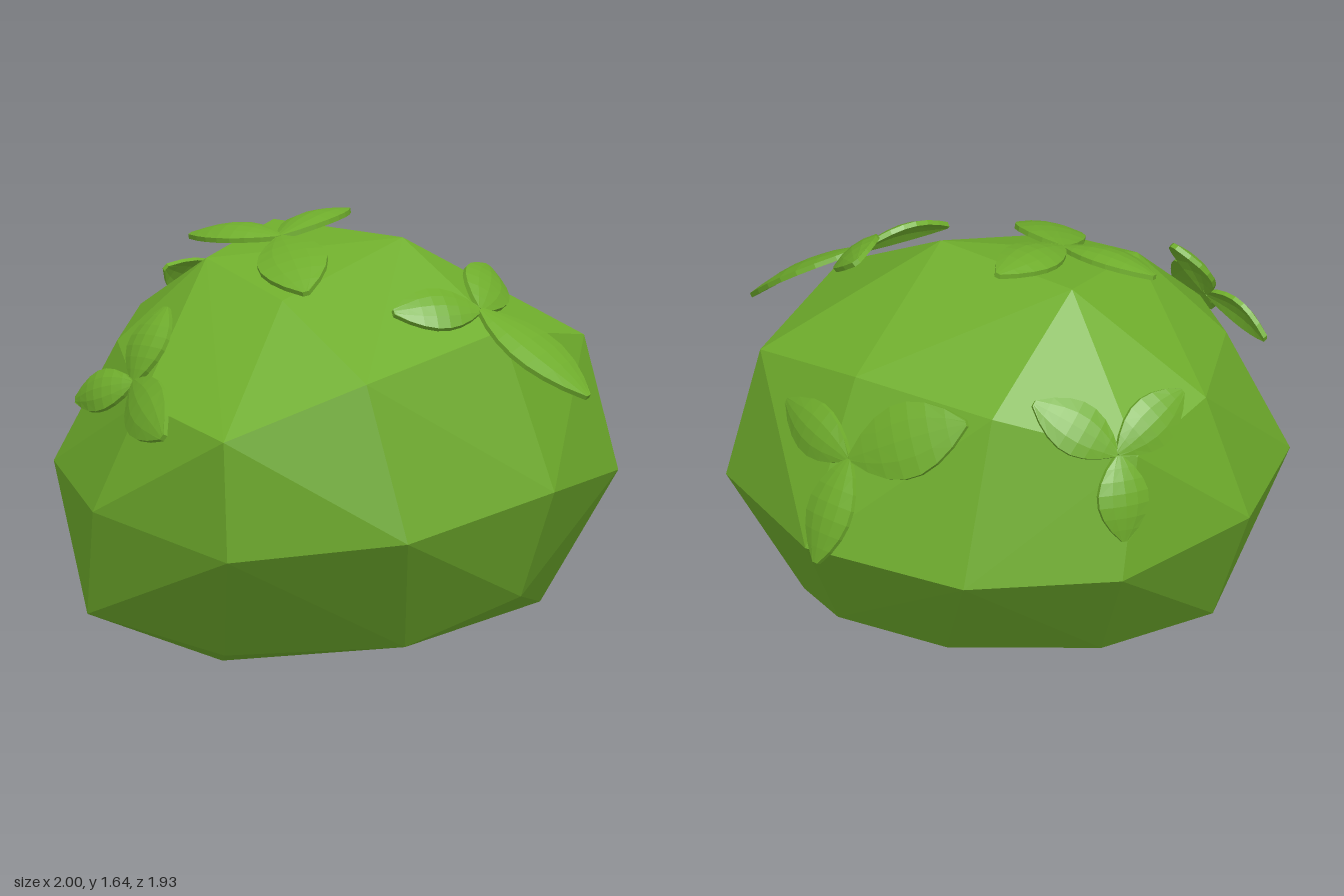
import * as THREE from 'three';
import { ConvexGeometry } from 'three/addons/geometries/ConvexGeometry.js';

const green = new THREE.MeshStandardMaterial({ color: 0x6fad2c });
green.name = 'leafGreen';

const vec = (p) => new THREE.Vector3(...p);

// Faceted bush body: cross-sections from crown to base
const crown = [[0.22, 1.58, 0.17], [-0.12, 1.57, -0.33], [-0.47, 1.51, 0], [-0.3, 1.42, 0.4]];
const shoulder = [
  [-0.12, 1.19, 0.87], [0.46, 1.31, 0.63], [0.88, 1.2, 0.25], [0.66, 1.27, -0.2], [0.28, 1.25, -0.64],
  [-0.2, 1.14, -0.87], [-0.53, 1.22, -0.64], [-0.77, 1.2, -0.12], [-0.84, 1.08, 0.42], [-0.65, 1.0, 0.84],
];
const waist = [
  [0.01, 0.61, 0.96], [0.62, 0.73, 0.76], [1, 0.7, 0.28], [0.9, 0.69, -0.36], [0.42, 0.63, -0.74],
  [-0.12, 0.68, -0.94], [-0.67, 0.75, -0.72], [-0.98, 0.75, -0.22], [-1, 0.67, 0.35], [-0.63, 0.55, 0.82],
];
const skirt = [
  [0.1, 0.16, 0.61], [0.54, 0.32, 0.6], [0.72, 0.22, 0.23], [0.72, 0.3, -0.18], [0.37, 0.22, -0.38],
  [-0.15, 0.24, -0.59], [-0.6, 0.27, -0.5], [-0.97, 0.26, 0.18], [-0.52, 0.125, 0.41],
];
const base = [[-0.38, 0, -0.1], [0.2, 0.07, 0.05]];

// Leaf sprigs: hub point and three leaves, each a tip point and a half width
const sprigs = {
  topSprig: {
    hub: [-0.19, 1.56, 0],
    leaves: [[[-0.45, 1.53, -0.27], 0.09], [[0.13, 1.6, -0.22], 0.1], [[-0.22, 1.44, 0.44], 0.128]],
  },
  frontSprig: {
    hub: [0.39, 1.37, 0.57],
    leaves: [[[0.05, 1.39, 0.62], 0.09], [[0.5, 1.47, 0.28], 0.1], [[0.71, 1.09, 0.87], 0.125]],
  },
  leftSprig: {
    hub: [0.73, 1.03, -0.37],
    leaves: [[[0.86, 1.13, -0.04], 0.1], [[0.37, 1.25, -0.64], 0.14], [[0.88, 0.67, -0.45], 0.105]],
  },
  backSprig: {
    hub: [-0.12, 1.16, -0.87],
    leaves: [[[-0.4, 1.32, -0.75], 0.095], [[0.16, 1.35, -0.75], 0.1], [[-0.12, 0.85, -0.95], 0.1]],
  },
  rightSprig: {
    hub: [-0.83, 1.13, 0.33],
    leaves: [[[-0.68, 1.38, 0.24], 0.1], [[-0.98, 1.03, 0.1], 0.08], [[-0.83, 1.0, 0.71], 0.11]],
  },
};
const bodyCentre = new THREE.Vector3(0, 0.75, 0);

// Thin pointed leaf from hub to tip, arched along its length and cupped across
function leaf(hub, tip, halfWidth) {
  const along = tip.clone().sub(hub);
  const length = along.length();
  along.normalize();
  const outward = hub.clone().add(tip).multiplyScalar(0.5).sub(bodyCentre);
  outward.addScaledVector(along, -outward.dot(along)).normalize();
  const side = new THREE.Vector3().crossVectors(outward, along);

  const box = new THREE.BoxGeometry(1, 0.018, 1, 4, 1, 7);
  const pos = box.attributes.position;
  for (let i = 0; i < pos.count; i++) {
    const s = pos.getX(i) * 2;
    const t = pos.getZ(i) + 0.5;
    const bulge = Math.max(Math.sin(Math.PI * t), 0);
    const half = 0.012 + (halfWidth - 0.012) * Math.pow(bulge, 0.9);
    const lift = 0.01 + (0.035 - 0.02 * s * s) * bulge;
    pos.setXYZ(i, s * half, pos.getY(i) + lift, t * length);
  }
  const geometry = box.toNonIndexed();
  geometry.applyMatrix4(new THREE.Matrix4().makeBasis(side, outward, along).setPosition(hub));
  geometry.computeVertexNormals();
  const mesh = new THREE.Mesh(geometry, green);
  mesh.name = 'leaf';
  return mesh;
}

export function createModel() {
  const bush = new THREE.Group();
  bush.name = 'bush';

  const points = [...crown, ...shoulder, ...waist, ...skirt, ...base].map(vec);
  const body = new THREE.Mesh(new ConvexGeometry(points), green);
  body.name = 'bushBody';
  bush.add(body);

  for (const [name, { hub, leaves }] of Object.entries(sprigs)) {
    const sprig = new THREE.Group();
    sprig.name = name;
    for (const [tip, halfWidth] of leaves) sprig.add(leaf(vec(hub), vec(tip), halfWidth));
    bush.add(sprig);
  }
  return bush;
}
